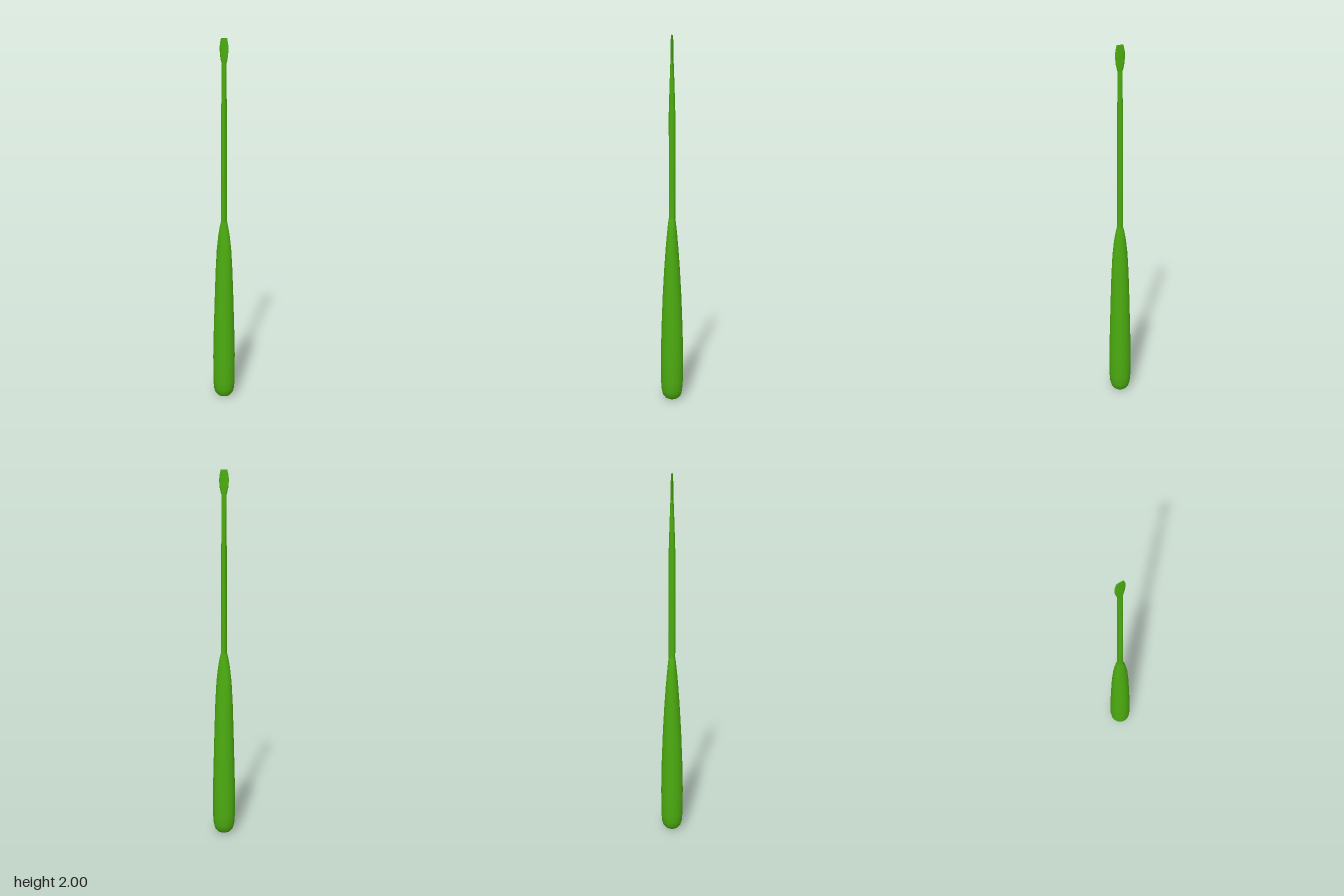
import * as THREE from 'three';
import { toCreasedNormals } from 'three/addons/utils/BufferGeometryUtils.js';

const SIDES = 16;
const green = new THREE.MeshStandardMaterial({ color: 0x4cab10 });

// Closed loft through elliptical sections, each [y, half width, half depth], from the bottom up
function loft(name, sections, crease) {
  const steps = sections.length - 1;
  const geometry = new THREE.CylinderGeometry(1, 1, 1, SIDES, steps);
  const p = geometry.attributes.position;
  for (let i = 0; i < p.count; i++) {
    const [y, rx, rz] = sections[Math.round((p.getY(i) + 0.5) * steps)];
    p.setXYZ(i, p.getX(i) * rx, y, p.getZ(i) * rz);
  }
  const mesh = new THREE.Mesh(toCreasedNormals(geometry, crease), green);
  mesh.name = name;
  return mesh;
}

export function createModel() {
  const model = new THREE.Group();
  model.name = 'screwdriver';

  // Grip: rounded butt, long swell, shoulders that narrow more in depth than in width
  model.add(loft('handle', [
    [0, 0.022, 0.022],
    [0.008, 0.038, 0.038],
    [0.022, 0.050, 0.050],
    [0.05, 0.058, 0.058],
    [0.10, 0.062, 0.062],
    [0.25, 0.062, 0.063],
    [0.40, 0.058, 0.060],
    [0.60, 0.053, 0.052],
    [0.75, 0.049, 0.043],
    [0.87, 0.043, 0.034],
    [0.95, 0.034, 0.027],
    [1.00, 0.025, 0.022],
    [1.03, 0.017, 0.018],
  ], 0.9));

  // Shaft: thins in depth towards the tip
  model.add(loft('shaft', [
    [1.02, 0.017, 0.018],
    [1.10, 0.015, 0.018],
    [1.60, 0.014, 0.018],
    [1.72, 0.014, 0.014],
    [1.80, 0.014, 0.011],
    [1.87, 0.014, 0.008],
  ], 0.9));

  // Flat blade: flares in width and tapers to a thin edge
  model.add(loft('blade', [
    [1.87, 0.014, 0.008],
    [1.885, 0.019, 0.0075],
    [1.91, 0.025, 0.0065],
    [1.945, 0.028, 0.005],
    [1.97, 0.026, 0.0035],
    [2.00, 0.019, 0.002],
  ], 0.9));

  return model;
}
